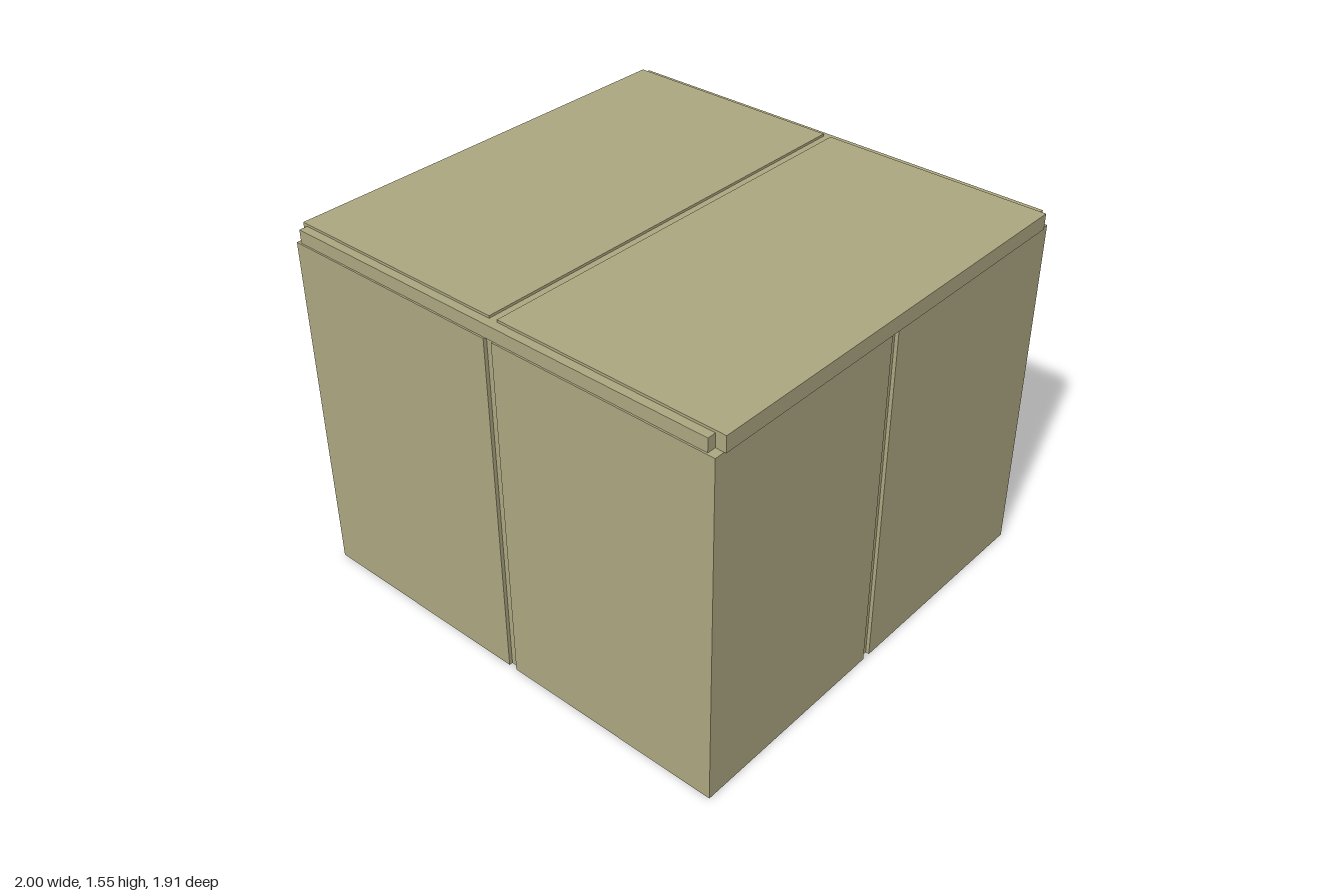
import * as THREE from 'three';

const BODY_TOP = 1.485;

export function createModel() {
  const model = new THREE.Group();
  const material = new THREE.MeshStandardMaterial({ color: 0xada781, flatShading: true });

  const add = (name, geometry) => {
    const mesh = new THREE.Mesh(geometry, material);
    mesh.name = name;
    model.add(mesh);
  };

  // Box given by its two opposite corners
  const addBox = (name, [x0, y0, z0], [x1, y1, z1]) => {
    const geometry = new THREE.BoxGeometry(x1 - x0, y1 - y0, z1 - z0);
    geometry.translate((x0 + x1) / 2, (y0 + y1) / 2, (z0 + z1) / 2);
    add(name, geometry);
  };

  // Body: plan outline with a shallow seam notched into the middle of each wall
  const L = -0.997, R = 0.992, F = -0.957, B = 0.957, d = 0.015;
  const plan = [
    [L, F], [-0.01, F], [-0.01, F + d], [0.027, F + d], [0.027, F],
    [R, F], [R, -0.038], [R - d, -0.038], [R - d, -0.002], [R, -0.002],
    [R, B], [0.03, B], [0.03, B - d], [-0.007, B - d], [-0.007, B],
    [L, B], [L, 0.005], [L + d, 0.005], [L + d, -0.032], [L, -0.032],
  ];
  const body = new THREE.ExtrudeGeometry(
    new THREE.Shape(plan.map(([x, y]) => new THREE.Vector2(x, y))),
    { depth: BODY_TOP, bevelEnabled: false }
  );
  body.rotateX(-Math.PI / 2);
  add('body', body);

  // Inner flaps folded over the front and back edges, under the top panels
  addBox('frontFlap', [-0.98, BODY_TOP, 0], [0.957, 1.54, 0.95]);
  addBox('backFlap', [-0.99, BODY_TOP, -0.953], [0.968, 1.54, 0]);

  // Two outer top panels with a narrow gap between them
  addBox('rightTopPanel', [-1, BODY_TOP, -0.925], [-0.02, 1.55, 0.915]);
  addBox('leftTopPanel', [0.017, BODY_TOP, -0.92], [1, 1.55, 0.915]);

  return model;
}
